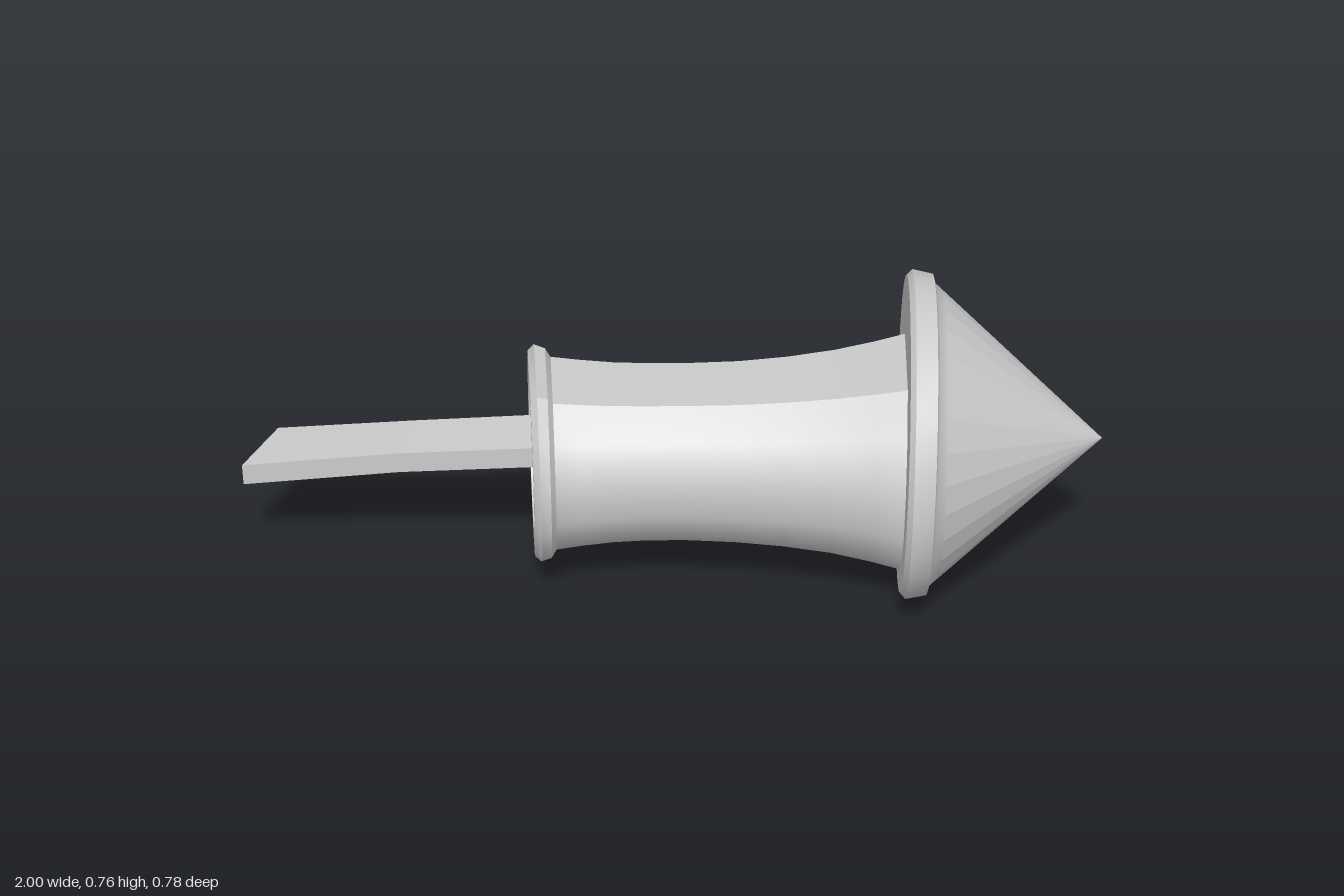
import * as THREE from 'three';
import { toCreasedNormals, mergeVertices } from 'three/addons/utils/BufferGeometryUtils.js';

const SIDES = 12;
const FLAT = THREE.MathUtils.degToRad(27); // half angle of the flat strip on top

// Skin of flat-topped rings; each row is [x, radius, centre height]
function tubeGeometry(rows) {
  const pos = [], index = [];
  const n = SIDES + 1;
  for (const [s, r, cy] of rows) {
    for (let j = 0; j < n; j++) {
      const a = FLAT + (j / SIDES) * (2 * Math.PI - 2 * FLAT);
      const z = r * Math.sin(a);
      const slant = 0.11 * THREE.MathUtils.clamp(-s / 0.3, 0, 1); // the open end is cut askew
      pos.push(s + slant * z, cy + r * Math.cos(a), z);
    }
  }
  for (let i = 0; i < rows.length - 1; i++) {
    for (let j = 0; j < n; j++) {
      const k = (j + 1) % n;
      const a = i * n + j, b = i * n + k, c = a + n, d = b + n;
      index.push(a, c, b, b, c, d);
    }
  }
  const geo = new THREE.BufferGeometry();
  geo.setAttribute('position', new THREE.Float32BufferAttribute(pos, 3));
  geo.setIndex(index);
  return toCreasedNormals(geo, 0.6);
}

// Turned shape along x; each point is [radius, x]
function turned(points) {
  const geo = new THREE.LatheGeometry(points.map(([r, x]) => new THREE.Vector2(r, x)), 28);
  geo.rotateZ(-Math.PI / 2);
  geo.scale(1, 0.98, 1);
  geo.translate(0, 0.38, 0);
  return geo;
}

export function createModel() {
  const group = new THREE.Group();
  const smooth = new THREE.MeshStandardMaterial({ color: 0xcccccc });
  const flat = new THREE.MeshStandardMaterial({ color: 0xcccccc, flatShading: true });
  const add = (name, geo, mat) => {
    const mesh = new THREE.Mesh(geo, mat);
    mesh.name = name;
    group.add(mesh);
  };

  // Waisted body
  const waist = new THREE.CatmullRomCurve3([
    [0.56, 0.281, 0.329], [0.4, 0.242, 0.326], [0.2, 0.216, 0.32],
    [0, 0.208, 0.315], [-0.15, 0.213, 0.309], [-0.28, 0.228, 0.303],
  ].map((p) => new THREE.Vector3(...p)));
  add('body', tubeGeometry(waist.getPoints(9).map((p) => p.toArray())), smooth);

  // Lip around the open end, running into the hollow
  add('rim', tubeGeometry([
    [-0.272, 0.226, 0.303], [-0.285, 0.247, 0.303], [-0.31, 0.256, 0.303],
    [-0.325, 0.242, 0.302], [-0.325, 0.19, 0.298], [-0.02, 0.175, 0.302],
    [-0.02, 0.001, 0.302],
  ]), smooth);

  // Collar disc behind the nose
  const collar = turned([
    [0, 0.54], [0.375, 0.54], [0.388, 0.552], [0.378, 0.6], [0.356, 0.606], [0.338, 0.626],
  ]);
  collar.deleteAttribute('uv');
  collar.deleteAttribute('normal');
  add('collar', toCreasedNormals(mergeVertices(collar), 0.6), smooth);

  // Pointed nose
  add('noseCone', turned([[0.338, 0.626], [0, 1]]), flat);

  // Fuse strip; each section is [x at back, x at front, y low, y high, z back, z front]
  const sections = [
    [-0.94, -1, 0.23, 0.283, -0.118, 0.048],
    [-0.61, -0.63, 0.283, 0.335, -0.082, 0.062],
    [-0.32, -0.32, 0.31, 0.362, -0.076, 0.07],
    [-0.05, -0.05, 0.315, 0.367, -0.07, 0.07],
  ];
  const fuse = new THREE.BoxGeometry(3, 1, 1, 3, 1, 1);
  const p = fuse.attributes.position;
  for (let i = 0; i < p.count; i++) {
    const s = sections[Math.round(p.getX(i) + 1.5)];
    const front = p.getZ(i) > 0 ? 1 : 0, top = p.getY(i) > 0 ? 1 : 0;
    p.setXYZ(i, s[front], s[2 + top], s[4 + front]);
  }
  add('fuse', fuse, flat);

  return group;
}
